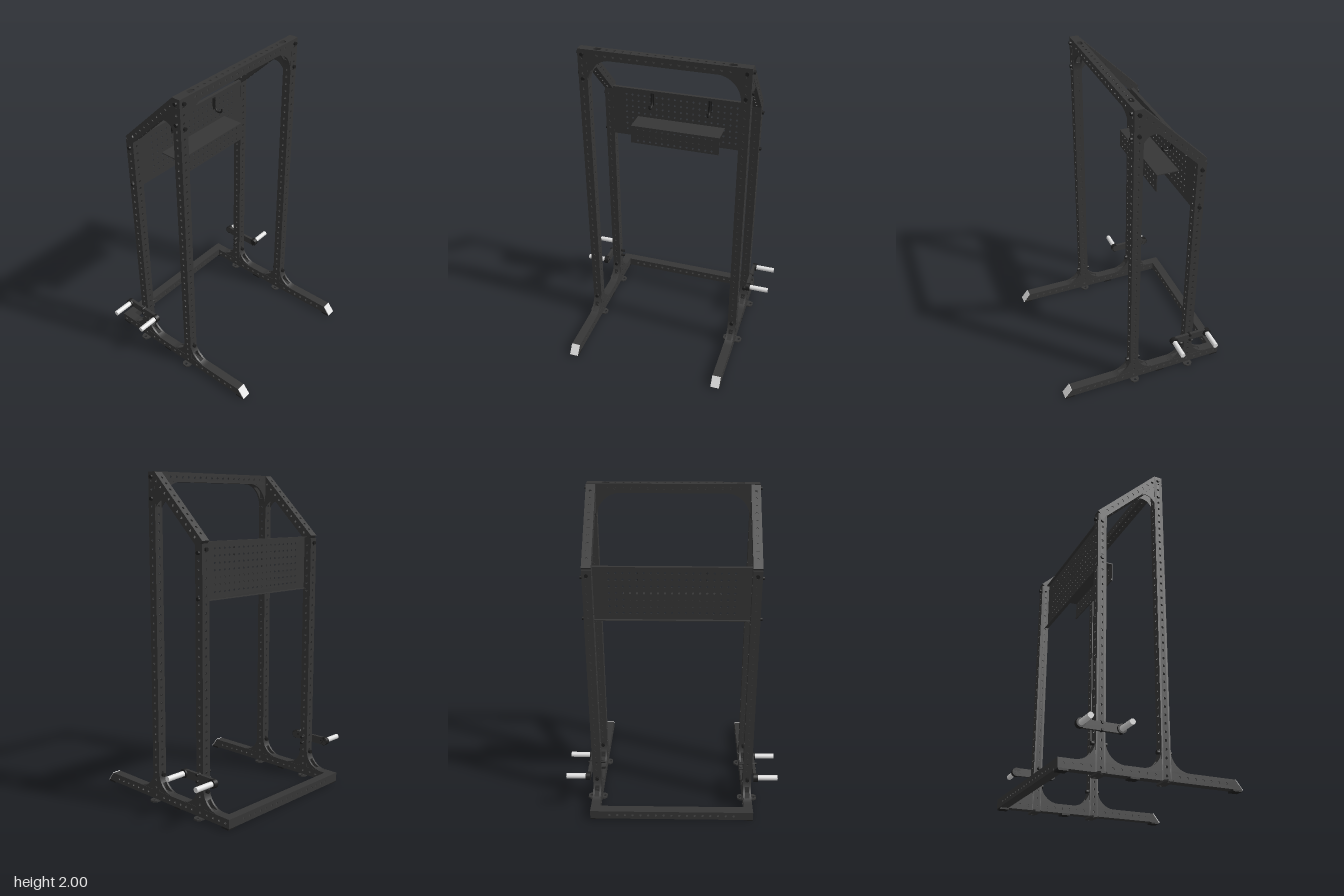
import * as THREE from 'three';

export function createModel() {
  const model = new THREE.Group();
  const steel = new THREE.MeshStandardMaterial({ color: 0x363636 });
  steel.name = 'dark steel';
  const bolt = new THREE.MeshStandardMaterial({ color: 0x1e1e1e });
  bolt.name = 'black bolt';
  const light = new THREE.MeshStandardMaterial({ color: 0xe0e0e0 });
  light.name = 'light metal';

  const W = 0.056, T = 0.004, STEP = 0.049, R = 0.008;
  const X = 0.486, FZ = 0.07, RZ = -0.317, BY = 0.038;

  const add = (name, geo, mat, x = 0, y = 0, z = 0, parent = model) => {
    const m = new THREE.Mesh(geo, mat);
    m.name = name;
    m.position.set(x, y, z);
    parent.add(m);
    return m;
  };
  const box = (name, w, h, d, x, y, z, mat = steel, parent = model) =>
    add(name, new THREE.BoxGeometry(w, h, d), mat, x, y, z, parent);
  const cyl = (name, r, h, axis, x, y, z, mat = bolt, sides = 16) => {
    const m = add(name, new THREE.CylinderGeometry(r, r, h, sides), mat, x, y, z);
    if (axis === 'x') m.rotation.z = Math.PI / 2;
    if (axis === 'z') m.rotation.x = Math.PI / 2;
    return m;
  };
  const extrude = (shape, depth, seg = 5) => {
    const g = new THREE.ExtrudeGeometry(shape, { depth, bevelEnabled: false, curveSegments: seg });
    return g.translate(0, 0, -depth / 2);
  };
  // Rectangle x0..x1, y0..y1 with round holes [x, y] and upright slots [y0, y1]
  const sheet = (x0, x1, y0, y1, holes, r = R, slots = []) => {
    const s = new THREE.Shape();
    s.moveTo(x0, y0).lineTo(x1, y0).lineTo(x1, y1).lineTo(x0, y1).closePath();
    for (const [x, y] of holes) s.holes.push(new THREE.Path().absarc(x, y, r, 0, Math.PI * 2, true));
    for (const [a, b] of slots) {
      const p = new THREE.Path();
      p.absarc(0, a, 0.016, 0, Math.PI, true);
      p.absarc(0, b, 0.016, Math.PI, 0, true);
      s.holes.push(p);
    }
    return extrude(s, T);
  };
  // Hollow square tube between two points, with hole offsets for its x and z walls
  const tube = (name, a, b, xHoles = [], zHoles = [], slots = []) => {
    const A = new THREE.Vector3(...a), D = new THREE.Vector3(...b).sub(A), len = D.length();
    const g = new THREE.Group();
    g.name = name;
    g.position.copy(A);
    g.quaternion.setFromUnitVectors(new THREE.Vector3(0, 1, 0), D.normalize());
    const h = W / 2, zWall = sheet(-h, h, 0, len, zHoles.map(y => [0, y]));
    const xWall = sheet(-h + T, h - T, 0, len, xHoles.map(y => [0, y]), R, slots).rotateY(Math.PI / 2);
    for (const s of [-1, 1]) {
      add(name + 'Wall', zWall, steel, 0, 0, s * (h - T / 2), g);
      add(name + 'Wall', xWall, steel, s * (h - T / 2), 0, 0, g);
    }
    for (const y of [T / 2, len - T / 2]) box(name + 'End', W - 2 * T, T, W - 2 * T, 0, y, 0, steel, g);
    model.add(g);
    return g;
  };
  const run = (start, end) => {
    const out = [];
    for (let y = start; y <= end + 1e-6; y += STEP) out.push(y);
    return out;
  };
  // Curved corner bracket: two side cheeks and a slotted curved web
  const gusset = (name, r, x, y, z, ry, rz) => {
    const g = new THREE.Group();
    g.name = name;
    g.position.set(x, y, z);
    g.rotation.set(0, ry, rz);
    const s = new THREE.Shape();
    s.moveTo(0, 0).lineTo(r, 0);
    s.absarc(r, r, r, -Math.PI / 2, -Math.PI, true);
    s.closePath();
    const cheek = extrude(s, T, 10);
    for (const k of [-1, 1]) add(name + 'Cheek', cheek, steel, 0, 0, k * (W / 2 - T), g);
    const web = (t0, t1, w, off) => {
      const p = new THREE.Shape(), a = Math.PI + t0 * Math.PI / 2, b = Math.PI + t1 * Math.PI / 2;
      p.absarc(r, r, r, a, b, false);
      p.absarc(r, r, r + 0.005, b, a, true);
      add(name + 'Web', extrude(p, w, 6), steel, 0, 0, off, g);
    };
    web(0.03, 0.35, W - 0.008, 0);
    web(0.75, 0.97, W - 0.008, 0);
    for (const k of [-1, 1]) web(0.35, 0.75, 0.01, k * 0.019);
    model.add(g);
  };

  for (const s of [-1, 1]) {
    const x = s * X, out = s * (X + W / 2);
    // Uprights and sloping top rail
    tube('frontUpright', [x, 0.01, FZ], [x, 2, FZ], run(0.028, 1.97), run(0.028, 1.97));
    tube('rearUpright', [x, 0.01, RZ], [x, 1.6, RZ], run(0.028, 1.57), run(0.028, 1.57));
    tube('slopedRail', [x, 1.98, 0.065], [x, 1.597, -0.326], run(0.05, 0.51), run(0.05, 0.51));

    // Base rails between the uprights
    tube('frontFoot', [x, BY, FZ + W / 2], [x, BY, 0.5], run(0.05, 0.37));
    tube('middleRail', [x, BY, RZ + W / 2], [x, BY, FZ - W / 2], run(0.042, 0.3));
    tube('rearFoot', [x, BY, -0.552], [x, BY, RZ - W / 2], run(0.03, 0.19));

    // Slanted toe with light end cap
    const toe = new THREE.Shape();
    toe.moveTo(0.498, 0.01).lineTo(0.547, 0.01).lineTo(0.503, 0.066).lineTo(0.498, 0.066).closePath();
    add('toe', extrude(toe, W).rotateY(-Math.PI / 2), steel, x);
    box('toeCap', W, 0.073, 0.006, x, 0.038, 0.5255, light).rotation.x = -Math.atan2(0.045, 0.057);

    // Base brackets, floor plates and pads
    for (const z of [FZ, RZ]) {
      for (const k of [-1, 1]) {
        gusset('baseGusset', 0.118, x, 0.066, z + k * W / 2, -k * Math.PI / 2, 0);
        cyl('gussetBolt', 0.012, 0.02, 'z', x, 0.17, z + k * (W / 2 + 0.007));
      }
      const p = new THREE.Shape();
      p.moveTo(-0.062, -0.014).lineTo(-0.045, -0.028).lineTo(0.045, -0.028).lineTo(0.062, -0.014)
        .lineTo(0.062, 0.014).lineTo(0.045, 0.028).lineTo(-0.045, 0.028).lineTo(-0.062, 0.014).closePath();
      for (const hx of [-0.045, 0.045]) p.holes.push(new THREE.Path().absarc(hx, 0, 0.009, 0, Math.PI * 2, true));
      add('floorPlate', extrude(p, 0.01).rotateX(Math.PI / 2), steel, s * 0.49, 0.005, z);
    }
    for (const z of [0.515, -0.12, -0.52]) box('floorPad', W, 0.012, 0.055, x, 0.006, z, bolt);

    // Bracket under the sloping rail
    const b = new THREE.Shape();
    b.moveTo(0.045, 1.79).lineTo(0.045, 1.93).lineTo(-0.088, 1.8).quadraticCurveTo(-0.01, 1.88, 0.045, 1.79);
    const cheek = extrude(b, T, 10).rotateY(-Math.PI / 2);
    for (const k of [-1, 1]) add('railGusset', cheek, steel, x + k * (W / 2 - T), 0, 0);

    // Top corner bracket
    gusset('topGusset', 0.15, s * (X - W / 2), 1.945, FZ, 0, s < 0 ? -Math.PI / 2 : Math.PI);

    // Bolt heads
    for (const y of [1.97, 1.845]) cyl('sideBolt', 0.011, 0.014, 'x', out + s * 0.005, y, FZ);
    for (const y of [1.55, 1.295]) cyl('sideBolt', 0.011, 0.014, 'x', out + s * 0.005, y, RZ);
    for (const y of [1.97, 1.82]) cyl('frontBolt', 0.011, 0.014, 'z', x, y, FZ + W / 2 + 0.005);
    cyl('rearBolt', 0.011, 0.014, 'z', x, 1.57, RZ - W / 2 - 0.005);

    // Weight storage: rounded arm, collars, pegs and locking pins
    const arm = new THREE.Shape();
    arm.absarc(-0.205, 0.255, 0.025, -Math.PI / 2, Math.PI / 2, false);
    arm.absarc(-0.44, 0.255, 0.025, Math.PI / 2, Math.PI * 1.5, false);
    add('storageArm', extrude(arm, 0.018, 10).rotateY(-Math.PI / 2), steel, s * 0.523, 0, 0);
    for (const z of [-0.205, -0.44]) {
      cyl('pegCollar', 0.027, 0.028, 'x', s * 0.528, 0.255, z, bolt, 24);
      cyl('storagePeg', 0.0165, 0.13, 'x', s * 0.601, 0.255, z, light, 24);
    }
    for (const y of [0.235, 0.275]) cyl('lockingPin', 0.008, 0.11, 'x', s * 0.487, y, RZ);

    // Panel hook
    const pts = [[1.59, -0.284], [1.535, -0.282], [1.51, -0.265], [1.507, -0.24], [1.52, -0.226], [1.54, -0.224]];
    const path = new THREE.CatmullRomCurve3(pts.map(([y, z]) => new THREE.Vector3(0, y, z)));
    add('panelHook', new THREE.TubeGeometry(path, 24, 0.006, 8), bolt, s * 0.19);
    box('hookPlate', 0.022, 0.08, 0.006, s * 0.19, 1.555, -0.287, bolt);
  }

  // Top and rear cross members
  const inner = X - W / 2;
  const row = run(inner - 8 * STEP, inner + 8 * STEP);
  tube('topCrossbar', [-inner, 1.972, FZ], [inner, 1.972, FZ], row.slice(1, -1), row,
    [[0.05, 0.067], [2 * inner - 0.067, 2 * inner - 0.05]]);
  tube('rearCrossbar', [-inner, BY, -0.525], [inner, BY, -0.525], [], row);

  // Perforated panel with folded edges
  const grid = (cols, rows) => {
    const out = [];
    for (let i = -cols; i <= cols; i++) for (let j = 0; j < rows; j++) out.push([i * 0.0406, 1.32 + j * 0.0413]);
    return out;
  };
  add('pegPanel', sheet(-inner, inner, 1.275, 1.61, grid(9, 7), 0.0068), steel, 0, 0, -0.292);
  for (const y of [1.277, 1.608]) box('panelFold', inner * 2, T, 0.02, 0, y, -0.302);

  // Shelf with perforated front drop
  box('shelf', 0.58, 0.006, 0.144, 0, 1.417, -0.219);
  add('shelfFront', sheet(-0.29, 0.29, 1.3, 1.42, grid(6, 3), 0.0068), steel, 0, 0, -0.149);
  box('shelfLip', 0.58, 0.012, 0.008, 0, 1.306, -0.151);

  return model;
}
